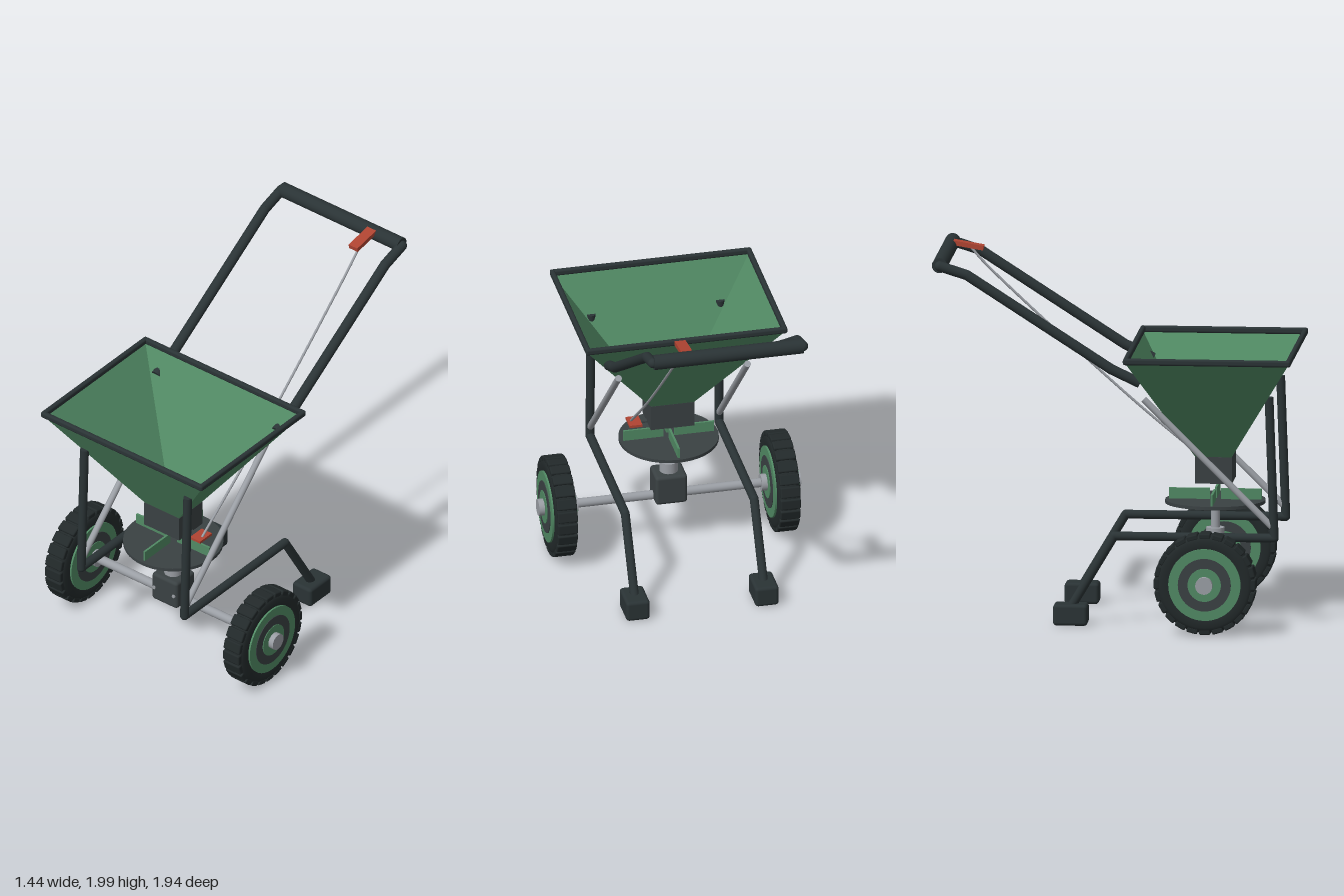
import * as THREE from 'three';
import { RoundedBoxGeometry } from 'three/addons/geometries/RoundedBoxGeometry.js';

const mat = (color, extra = {}) => new THREE.MeshStandardMaterial({ color, ...extra });
const V = (x, y, z) => new THREE.Vector3(x, y, z);
const CZ = 0.52; // z of axle, spinner and hopper centre

export function createModel() {
  const root = new THREE.Group();
  const green = mat(0x518a64), hopperGreen = mat(0x518a64, { side: THREE.DoubleSide, flatShading: true });
  const dark = mat(0x2a3335), rubber = mat(0x22292a), charcoal = mat(0x3a4143);
  const steel = mat(0x9a9ea4), red = mat(0xb04432);

  const add = (name, geo, material, x = 0, y = 0, z = 0, parent = root) => {
    const m = new THREE.Mesh(geo, material);
    m.name = name;
    m.position.set(x, y, z);
    parent.add(m);
    return m;
  };
  const box = (name, w, h, d, material, x, y, z, parent) =>
    add(name, new THREE.BoxGeometry(w, h, d), material, x, y, z, parent);
  const rounded = (name, w, h, d, r, material, x, y, z, parent) =>
    add(name, new RoundedBoxGeometry(w, h, d, 2, r), material, x, y, z, parent);
  // straight round bar between two points
  const bar = (name, a, b, r, material, parent = root) => {
    const m = add(name, new THREE.CylinderGeometry(r, r, a.distanceTo(b), 20), material, 0, 0, 0, parent);
    m.position.copy(a).add(b).multiplyScalar(0.5);
    m.quaternion.setFromUnitVectors(V(0, 1, 0), b.clone().sub(a).normalize());
    return m;
  };
  // bars along a path, with ball joints at the bends
  const bentTube = (name, pts, r, material) => {
    const g = new THREE.Group();
    g.name = name;
    root.add(g);
    for (let i = 1; i < pts.length; i++) {
      bar('tube', pts[i - 1], pts[i], r, material, g);
      if (i < pts.length - 1)
        add('bend', new THREE.SphereGeometry(r, 20, 12), material, pts[i].x, pts[i].y, pts[i].z, g);
    }
  };

  // Hopper: four sloping walls lofted between two rectangles
  const ring = (hx, hz, y) => [[hx, hz], [hx, -hz], [-hx, -hz], [-hx, hz]].map(([x, z]) => V(x, y, CZ + z));
  const top = ring(0.545, 0.44, 1.465), low = ring(0.115, 0.095, 0.885);
  const corners = [];
  for (let i = 0; i < 4; i++) {
    const j = (i + 1) % 4;
    corners.push(low[i], low[j], top[j], low[i], top[j], top[i]);
  }
  const hopper = new THREE.BufferGeometry().setFromPoints(corners);
  hopper.computeVertexNormals();
  add('hopper', hopper, hopperGreen);

  // Hopper rim and open outlet
  for (const s of [-1, 1]) {
    rounded('rimLong', 1.11, 0.036, 0.028, 0.012, dark, 0, 1.473, CZ + s * 0.438);
    rounded('rimShort', 0.028, 0.036, 0.904, 0.012, dark, s * 0.541, 1.473, CZ);
    box('outletSide', 0.018, 0.145, 0.2, charcoal, s * 0.111, 0.8175, CZ);
    box('outletFace', 0.22, 0.145, 0.018, charcoal, 0, 0.8175, CZ + s * 0.09);
  }

  // Sliding gate with its tab
  box('gate', 0.12, 0.008, 0.165, steel, 0.04, 0.752, CZ);
  box('gateArm', 0.08, 0.008, 0.03, charcoal, 0.135, 0.75, CZ);
  box('gateTab', 0.07, 0.014, 0.1, red, 0.19, 0.75, CZ);

  // Spinner disc with four vanes
  add('spinnerDisc', new THREE.CylinderGeometry(0.27, 0.27, 0.018, 48), charcoal, 0, 0.634, CZ);
  for (let i = 0; i < 4; i++) {
    const a = i * Math.PI / 2;
    box('vane', 0.22, 0.06, 0.012, green, 0.14 * Math.cos(a), 0.672, CZ - 0.14 * Math.sin(a)).rotation.y = a;
  }

  // Drive shaft, gearbox and axle
  bar('driveShaft', V(0, 0.4, CZ), V(0, 0.63, CZ), 0.025, steel);
  bar('shaftCollar', V(0, 0.41, CZ), V(0, 0.49, CZ), 0.05, steel);
  rounded('gearbox', 0.175, 0.17, 0.16, 0.018, charcoal, 0, 0.345, CZ);
  for (const x of [-0.067, 0.067])
    bar('gearboxBolt', V(x, 0.342, CZ + 0.07), V(x, 0.342, CZ + 0.085), 0.01, steel);
  bar('axle', V(-0.7, 0.287, CZ), V(0.7, 0.287, CZ), 0.025, steel);

  // Wheels: lathed tyre, tread blocks, stepped rims and hub (axis along y, then laid on x)
  const tyreProfile = [[0.17, -0.05], [0.2, -0.06], [0.235, -0.06], [0.257, -0.05], [0.266, -0.03], [0.266, 0.03],
    [0.257, 0.05], [0.235, 0.06], [0.2, 0.06], [0.17, 0.05]].map(p => new THREE.Vector2(...p));
  for (const s of [-1, 1]) {
    const wheel = new THREE.Group();
    wheel.name = s > 0 ? 'leftWheel' : 'rightWheel';
    wheel.position.set(s * 0.613, 0.287, CZ);
    wheel.rotation.z = -s * Math.PI / 2;
    root.add(wheel);
    add('tyre', new THREE.LatheGeometry(tyreProfile, 64), rubber, 0, 0, 0, wheel);
    for (let i = 0; i < 24; i++) {
      const a = i * Math.PI / 12;
      rounded('treadBlock', 0.03, 0.11, 0.06, 0.008, rubber,
        0.26 * Math.cos(a), 0, -0.26 * Math.sin(a), wheel).rotation.y = a;
    }
    const disc = (name, r, w, material) =>
      add(name, new THREE.CylinderGeometry(r, r, w, 48), material, 0, 0, 0, wheel);
    disc('outerRim', 0.195, 0.138, green);
    disc('rimBand', 0.143, 0.146, charcoal);
    disc('innerRim', 0.09, 0.154, green);
    disc('hub', 0.046, 0.215, steel);
  }

  // Frame, braces, feet and handle sides, mirrored
  for (const s of [-1, 1]) {
    const x = s * 0.355;
    bentTube('frameLeg', [V(x, 1.26, 0.84), V(x, 0.493, 0.868), V(x, 0.493, 0.005), V(x, 0.09, -0.235)], 0.024, dark);
    rounded('foot', 0.13, 0.115, 0.185, 0.018, dark, x, 0.066, -0.228);
    bar('brace', V(x, 0.55, 0.86), V(x, 1.24, 0.165), 0.018, steel);
    const h = s * 0.413;
    bentTube('handleSide', [V(h, 1.337, 0.15), V(h, 1.41, -0.005), V(h, 1.912, -0.785), V(h, 1.957, -0.93)], 0.028, dark);
    add('handleCorner', new THREE.SphereGeometry(0.028, 20, 12), dark, h, 1.957, -0.93);
  }
  bar('handleGrip', V(-0.41, 1.96, -0.932), V(0.41, 1.96, -0.932), 0.041, dark);

  // Control lever and cable down to the gate
  box('lever', 0.06, 0.025, 0.165, red, 0.223, 1.97, -0.83).rotation.x = 0.17;
  const cable = new THREE.CatmullRomCurve3([V(0.224, 1.96, -0.82), V(0.222, 1.865, -0.735),
    V(0.212, 1.14, 0.06), V(0.205, 0.755, 0.53)]);
  add('cable', new THREE.TubeGeometry(cable, 40, 0.007, 8), steel);

  return root;
}
